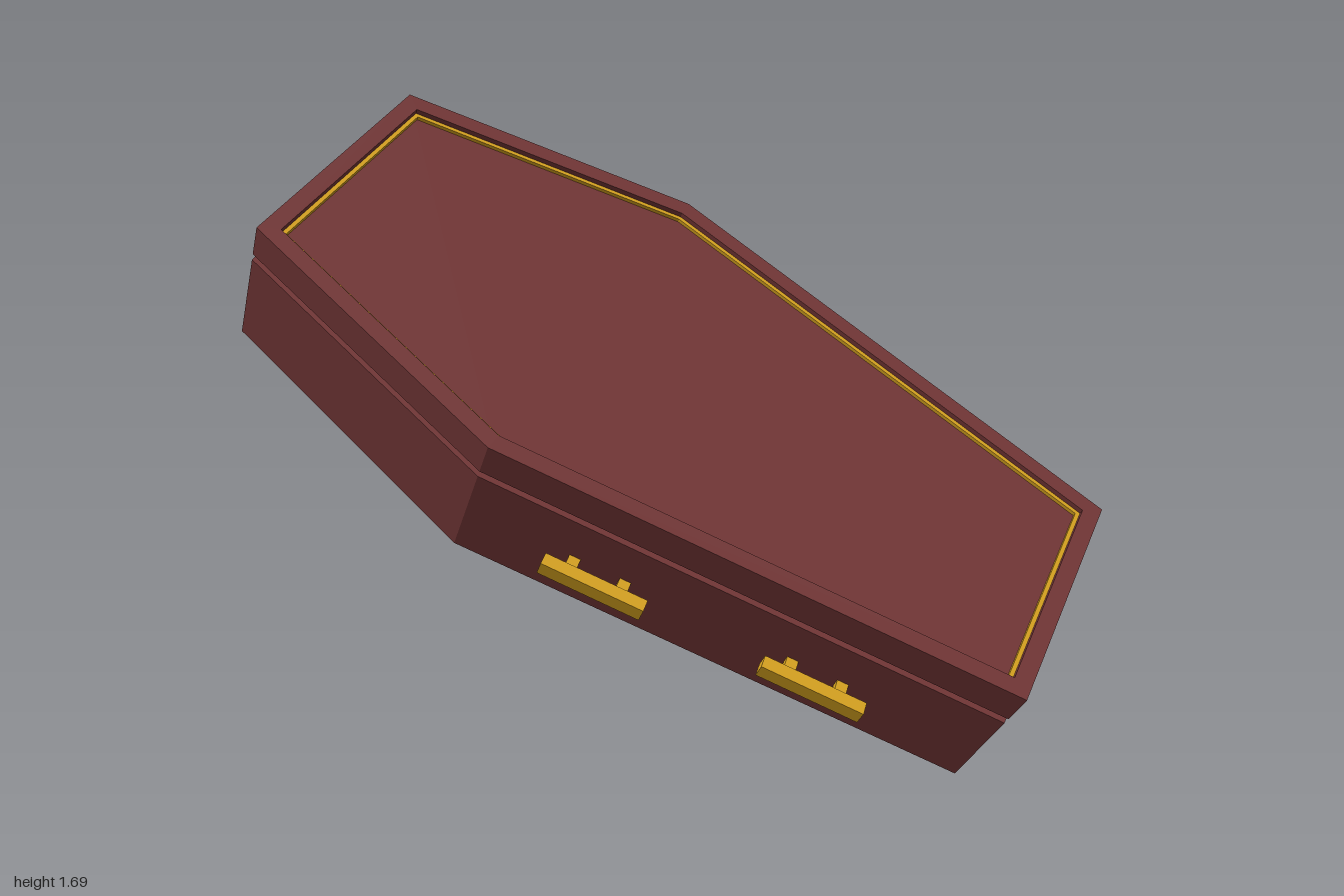
import * as THREE from 'three';

// Half outline: [half width, position along the length], foot to head
const PROFILE = [[0.34, -1.072], [0.5385, 0.286], [0.34, 1.072]];
const OUTLINE = [
  ...PROFILE.map(([x, y]) => new THREE.Vector2(x, y)),
  ...PROFILE.map(([x, y]) => new THREE.Vector2(-x, y)).reverse(),
];

// Move every edge of a counter-clockwise outline inwards by t
function inset(points, t) {
  const n = points.length;
  return points.map((p, i) => {
    const a = p.clone().sub(points[(i + n - 1) % n]).normalize();
    const b = points[(i + 1) % n].clone().sub(p).normalize();
    const na = new THREE.Vector2(-a.y, a.x), nb = new THREE.Vector2(-b.y, b.x);
    const k = t / (1 + na.dot(nb));
    return p.clone().addScaledVector(na.add(nb), k);
  });
}

// Prism between two heights, optionally hollow
function slab(points, z0, z1, hole) {
  const shape = new THREE.Shape(points);
  if (hole) shape.holes.push(new THREE.Path(hole));
  const g = new THREE.ExtrudeGeometry(shape, { depth: z1 - z0, bevelEnabled: false });
  g.translate(0, 0, z0);
  return g;
}

export function createModel() {
  const wood = new THREE.MeshStandardMaterial({ color: 0x743737 });
  wood.name = 'redWood';
  const gold = new THREE.MeshStandardMaterial({ color: 0xdaa520 });
  gold.name = 'gold';

  const model = new THREE.Group();
  model.name = 'coffin';
  const add = (name, geometry, material, parent = model) => {
    const mesh = new THREE.Mesh(geometry, material);
    mesh.name = name;
    parent.add(mesh);
    return mesh;
  };

  // Body in two halves that meet at the shoulders, where the base dips slightly
  const halves = { bodyFoot: [0, 1, 4, 5], bodyHead: [1, 2, 3, 4] };
  for (const [name, ids] of Object.entries(halves)) {
    const g = slab(ids.map((i) => OUTLINE[i]), 0, 0.275);
    const p = g.attributes.position;
    for (let i = 0; i < p.count; i++) {
      if (p.getZ(i) < 0.01 && Math.abs(p.getX(i)) > 0.5) p.setZ(i, -0.014);
    }
    g.computeVertexNormals();
    add(name, g, wood);
  }

  // Seam groove, lid with raised rim, and gold trim inside the rim
  const rimInner = inset(OUTLINE, 0.046);
  add('seam', slab(inset(OUTLINE, 0.016), 0.27, 0.3), wood);
  add('lidPanel', slab(inset(OUTLINE, 0.03), 0.296, 0.366), wood);
  add('lidRim', slab(OUTLINE, 0.295, 0.39, rimInner), wood);
  add('lidTrim', slab(rimInner, 0.36, 0.376, inset(OUTLINE, 0.057)), gold);

  // Two bar handles on each long side
  const slope = Math.atan2(0.5385 - 0.34, 0.286 + 1.072);
  for (const side of [1, -1]) {
    for (const y of [-0.065, -0.64]) {
      const handle = new THREE.Group();
      handle.name = side > 0 ? 'leftHandle' : 'rightHandle';
      const halfWidth = 0.34 + (y + 1.072) * Math.tan(slope);
      handle.position.set(side * halfWidth, y, 0.135);
      handle.rotation.z = -side * slope;
      add('handleBar', new THREE.BoxGeometry(0.034, 0.27, 0.042), gold, handle).position.x = side * 0.048;
      for (const s of [-1, 1]) {
        add('handlePost', new THREE.BoxGeometry(0.05, 0.03, 0.026), gold, handle)
          .position.set(side * 0.015, s * 0.067, 0);
      }
      model.add(handle);
    }
  }

  // Tilted pose, leaning back and turned in its own plane
  model.rotation.set(-Math.PI / 4, 0, Math.PI / 4);
  model.position.set(0, 0.706, -0.141);
  const root = new THREE.Group();
  root.name = 'tiltedCoffin';
  root.add(model);
  return root;
}
